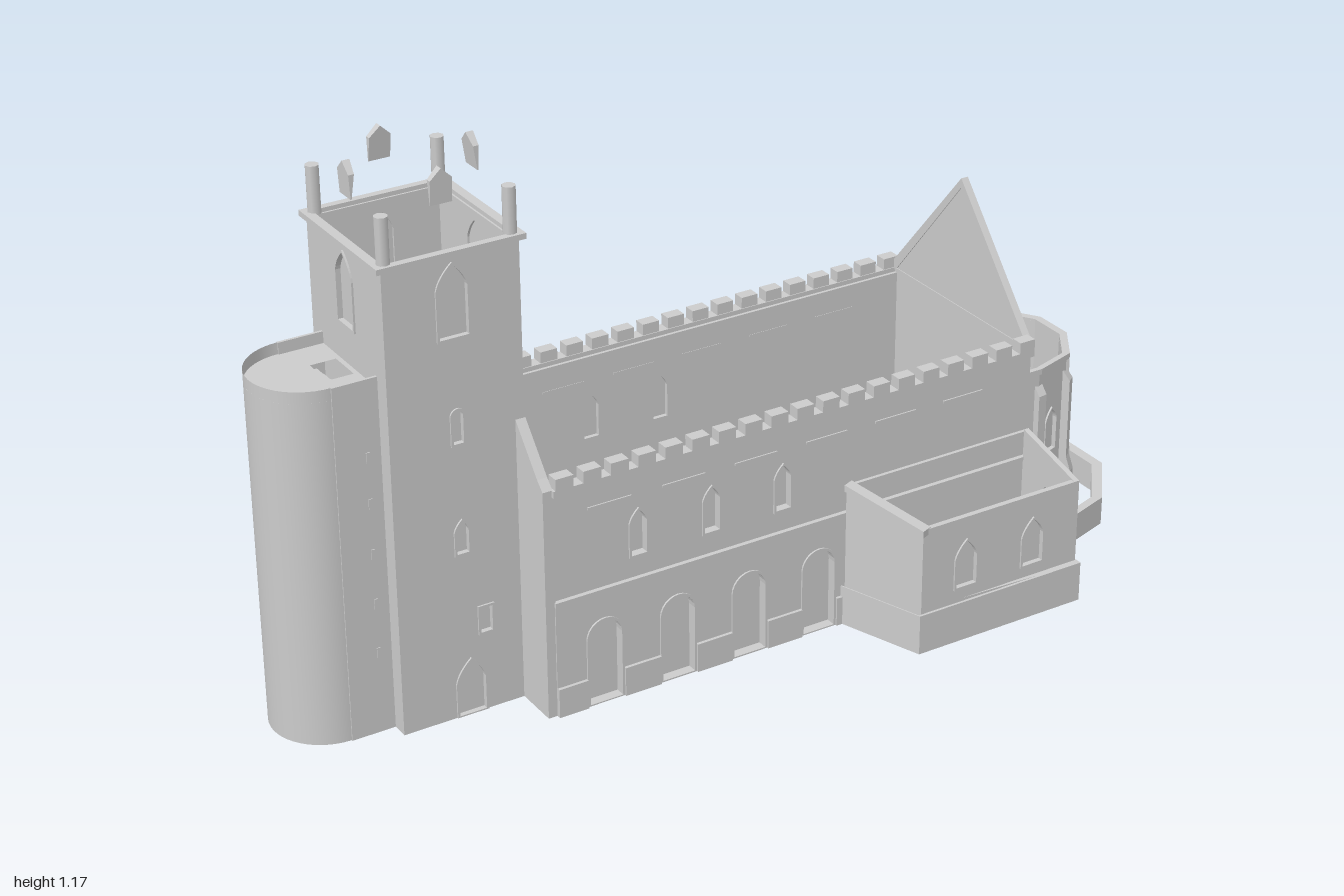
import * as THREE from 'three';

const mat = new THREE.MeshStandardMaterial({ color: 0xcccccc, side: THREE.DoubleSide });
const MID = -0.095; // z of the long axis

function add(parent, name, geo, x = 0, y = 0, z = 0) {
  const m = new THREE.Mesh(geo, mat);
  m.name = name;
  m.position.set(x, y, z);
  parent.add(m);
  return m;
}

// Box from min and max corners
function block(parent, name, x0, x1, y0, y1, z0, z1) {
  return add(parent, name, new THREE.BoxGeometry(x1 - x0, y1 - y0, z1 - z0),
    (x0 + x1) / 2, (y0 + y1) / 2, (z0 + z1) / 2);
}

const poly = pts => new THREE.Shape(pts.map(p => new THREE.Vector2(p[0], p[1])));
const extrude = (shape, depth) =>
  new THREE.ExtrudeGeometry(shape, { depth, bevelEnabled: false, curveSegments: 6 });

// Window or door outline: flat, round or pointed head
function openingShape({ u, y0, y1, w, head = 'point' }, g = 0) {
  const s = new THREE.Shape(), h = w / 2 + g, b = Math.max(0.001, y0 - g), t = y1 + g;
  s.moveTo(u - h, b);
  s.lineTo(u + h, b);
  if (head === 'flat') {
    s.lineTo(u + h, t);
    s.lineTo(u - h, t);
  } else if (head === 'round') {
    s.lineTo(u + h, t - h);
    s.absarc(u, t - h, h, 0, Math.PI, false);
  } else {
    const sp = t - h * 1.5;
    s.lineTo(u + h, sp);
    s.quadraticCurveTo(u + h * 0.85, sp + h * 0.75, u, t);
    s.quadraticCurveTo(u - h * 0.85, sp + h * 0.75, u - h, sp);
  }
  s.closePath();
  return s;
}

// Upright wall whose outer face runs from p to q (x, z), with recessed openings
function wall(parent, name, p, q, outline, depth, openings = []) {
  const g = new THREE.Group();
  g.name = name;
  g.position.set(p[0], 0, p[1]);
  g.rotation.y = Math.atan2(p[1] - q[1], q[0] - p[0]);
  parent.add(g);
  const len = Math.hypot(q[0] - p[0], q[1] - p[1]);
  const shape = poly(typeof outline === 'function' ? outline(len) : outline);
  for (const o of openings) {
    shape.holes.push(openingShape(o));
    add(g, 'pane', new THREE.ShapeGeometry(openingShape(o), 6), 0, 0, -depth * 0.6);
    const frame = openingShape(o, 0.005);
    frame.holes.push(openingShape(o));
    add(g, 'openingFrame', extrude(frame, 0.004));
  }
  add(g, name + 'Face', extrude(shape, depth), 0, 0, -depth);
  return g;
}
const rect = (y0, y1) => L => [[0, y0], [L, y0], [L, y1], [0, y1]];

// Wall ring following a plan polyline, its inner line scaled towards a centre
function band(parent, name, pts, c, k, y0, y1) {
  const inner = pts.map(([x, z]) => [c[0] + (x - c[0]) * k, c[1] + (z - c[1]) * k]).reverse();
  return add(parent, name, extrude(poly([...pts, ...inner]), y1 - y0).rotateX(Math.PI / 2), 0, y1, 0);
}

function buildNave(root) {
  const g = new THREE.Group();
  g.name = 'nave';
  root.add(g);
  const x0 = -0.5, x1 = 0.655, arches = [-0.39, -0.22, -0.05, 0.12];
  for (const s of [1, -1]) {
    const U = x => (s > 0 ? x - x0 : x1 - x);
    const ends = d => {
      const z = MID + s * d;
      return s > 0 ? [[x0, z], [x1, z]] : [[x1, z], [x0, z]];
    };
    const slab = (name, a, b, y0, y1, d0, d1) => block(g, name, a, b, y0, y1,
      Math.min(MID + s * d0, MID + s * d1), Math.max(MID + s * d0, MID + s * d1));
    const low = arches.map(x => ({ u: U(x), y0: 0.004, y1: 0.19, w: 0.075, head: 'round' }));
    if (s < 0) for (const x of [0.38, 0.54]) low.push({ u: U(x), y0: 0.06, y1: 0.225, w: 0.07 });
    const high = [-0.305, -0.135, 0.035].map(x => ({ u: U(x), y0: 0.31, y1: 0.41, w: 0.035 }));
    wall(g, 'lowerWall', ...ends(0.258), rect(0, 0.25), 0.03, low);
    wall(g, 'upperWall', ...ends(0.25), rect(0.25, 0.5), 0.024, high);
    slab('stringCourse', x0, x1, 0.25, 0.26, 0.228, 0.26);
    // plinth pieces between the arches
    const cuts = [x0, ...arches.flatMap(x => [x - 0.043, x + 0.043]), s > 0 ? 0.2 : x1];
    for (let i = 0; i < cuts.length; i += 2)
      slab('plinth', cuts[i], cuts[i + 1], 0, 0.065, 0.24, 0.265);
    // battlements
    slab('parapet', x0, x1, 0.495, 0.51, 0.233, 0.262);
    for (let i = 0; i < 19; i++) {
      const x = x0 + 0.005 + i * 0.0618;
      slab('merlon', x, Math.min(x + 0.04, x1), 0.51, 0.535, 0.235, 0.262);
    }
    for (let i = 0; i < 6; i++)
      slab('drip', -0.42 + i * 0.17, -0.32 + i * 0.17, 0.442, 0.447, 0.225, 0.253);
    // part of the west gable beside the tower
    const tilt = [[0.155, 0], [0.255, 0], [0.255, 0.51], [0.235, 0.53], [0.155, 0.625]];
    const west = add(g, 'westGable', extrude(poly(tilt.map(p => [-s * p[0], p[1]])), 0.022), -0.52, 0, MID);
    west.rotation.y = Math.PI / 2;
  }
  // east end wall with raised coping
  const gable = [[0.01, 0], [0.5, 0], [0.5, 0.51], [0.255, 0.79], [0.01, 0.51]];
  wall(g, 'eastGable', [0.655, MID + 0.255], [0.655, MID - 0.255], gable, 0.008);
  const cope = poly([[-0.24, 0.505], [0.24, 0.505], [0.235, 0.53], [0, 0.807], [-0.235, 0.53]]);
  cope.holes.push(poly([[-0.225, 0.511], [0.225, 0.511], [0, 0.785]]));
  add(g, 'gableCoping', extrude(cope, 0.017), 0.645, 0, MID).rotation.y = Math.PI / 2;
}

function buildTower(root) {
  const g = new THREE.Group();
  g.name = 'tower';
  root.add(g);
  const x0 = -0.79, x1 = -0.5, z0 = MID - 0.155, z1 = MID + 0.155, H = 1.005;
  const c = [[x0, z1], [x1, z1], [x1, z0], [x0, z0]];
  const U = x => x - x0;
  for (let i = 0; i < 4; i++) {
    const p = c[i], q = c[(i + 1) % 4], L = Math.hypot(q[0] - p[0], q[1] - p[1]);
    const list = [{ u: L / 2, y0: 0.835, y1: 0.985, w: 0.062 }];
    if (i % 2 === 0) list.push({ u: L / 2, y0: 0.37, y1: 0.44, w: 0.026 });
    if (i === 0) list.push(
      { u: U(-0.637), y0: 0.004, y1: 0.125, w: 0.06 },
      { u: U(-0.6), y0: 0.18, y1: 0.235, w: 0.026, head: 'flat' },
      { u: U(-0.645), y0: 0.61, y1: 0.68, w: 0.022, head: 'round' });
    wall(g, 'towerWall', p, q, rect(0, H), 0.012, list);
  }
  // cornice ring
  const corn = poly([[x0 - 0.012, z0 - 0.008], [x1 + 0.012, z0 - 0.008], [x1 + 0.012, z1 + 0.008], [x0 - 0.012, z1 + 0.008]]);
  corn.holes.push(poly([[x0 + 0.008, z0 + 0.008], [x1 - 0.008, z0 + 0.008], [x1 - 0.008, z1 - 0.008], [x0 + 0.008, z1 - 0.008]]));
  add(g, 'cornice', extrude(corn, 0.012).rotateX(Math.PI / 2), 0, 1.014, 0);
  // corner posts and floating pointed battlement plates
  for (const [x, z] of c)
    add(g, 'cornerPost', new THREE.CylinderGeometry(0.014, 0.014, 0.1, 8),
      x + Math.sign(-0.645 - x) * 0.012, 1.06, z + Math.sign(MID - z) * 0.012);
  for (let i = 0; i < 4; i++) {
    const pivot = new THREE.Group();
    pivot.name = 'battlementPlate';
    pivot.position.set(-0.645, 0, MID);
    pivot.rotation.y = i * Math.PI / 2;
    g.add(pivot);
    const plate = extrude(poly([[-0.023, 0], [0.023, 0], [0.023, 0.05], [0, 0.072], [-0.023, 0.05]]), 0.012);
    const pos = plate.attributes.position;
    for (let k = 0; k < pos.count; k++) // taper to a thin lower edge
      pos.setZ(k, pos.getZ(k) > 0.006 ? 0.002 + pos.getY(k) * 0.05 : -pos.getY(k) * 0.15);
    plate.computeVertexNormals();
    add(pivot, 'plate', plate, 0, 1.097, i % 2 ? 0.132 : 0.125);
  }
  block(g, 'northLedge', -0.76, -0.55, 0.505, 0.511, z0 - 0.005, z0);
}

function buildTurret(root) {
  const g = new THREE.Group();
  g.name = 'stairTurret';
  root.add(g);
  const r = 0.115, cx = -0.885, H = 0.775;
  const shell = rad => new THREE.CylinderGeometry(rad, rad, H, 24, 1, true, Math.PI, Math.PI);
  add(g, 'roundWall', shell(r), cx, H / 2, MID);
  for (const s of [1, -1]) {
    block(g, 'sideWall', cx, -0.79, 0, H, MID + s * r - 0.003, MID + s * r + 0.003);
    for (const y of [0.17, 0.28, 0.39, 0.5, 0.6])
      block(g, 'slit', -0.822, -0.814, y, y + 0.022, MID + s * (r + 0.003) - 0.002, MID + s * (r + 0.003) + 0.002);
  }
  const cap = new THREE.Shape();
  cap.moveTo(0.095, -r);
  cap.lineTo(0.095, r);
  cap.lineTo(0, r);
  cap.absarc(0, 0, r, Math.PI / 2, Math.PI * 1.5, false);
  cap.holes.push(poly([[0.03, -0.038], [0.085, -0.038], [0.085, 0.038], [0.03, 0.038]]));
  add(g, 'turretFloor', new THREE.ShapeGeometry(cap, 16).rotateX(-Math.PI / 2), cx, 0.75, MID);
  for (let i = 0; i < 4; i++) // steps below the hatch
    block(g, 'step', cx + 0.03 + i * 0.014, cx + 0.044 + i * 0.014, 0.68, 0.74 - i * 0.015, MID - 0.038, MID + 0.038);
}

function buildAnnex(root) {
  const g = new THREE.Group();
  g.name = 'annex';
  root.add(g);
  const a = [0.185, 0.165], b = [0.255, 0.34], c = [0.652, 0.34], d = [0.652, 0.163];
  wall(g, 'annexWestWall', a, b, L => [[0, 0], [L, 0], [L, 0.28], [0, 0.325]], 0.012);
  wall(g, 'annexWestCoping', [0.178, 0.168], [0.25, 0.347], L => [[0, 0.313], [L, 0.267], [L, 0.282], [0, 0.328]], 0.026);
  wall(g, 'annexSouthWall', b, c, rect(0, 0.28), 0.012,
    [0.365, 0.535].map(x => ({ u: x - b[0], y0: 0.12, y1: 0.225, w: 0.05 })));
  wall(g, 'annexEastWall', c, d, L => [[0, 0], [L, 0], [L, 0.325], [0, 0.28]], 0.012,
    [{ u: 0.095, y0: 0.088, y1: 0.225, w: 0.058 }]);
  band(g, 'annexPlinth', [[0.175, 0.165], [0.242, 0.355], [0.655, 0.355], [0.655, 0.335], [0.262, 0.335]], [0.26, 0.165], 0.97, 0, 0.09);
  block(g, 'roofString', 0.2, 0.655, 0.31, 0.32, 0.15, 0.163);
}

function buildApse(root) {
  const g = new THREE.Group();
  g.name = 'apse';
  root.add(g);
  // half plan mirrored about the axis
  const mirror = half => [...half.map(([x, d]) => [x, MID + d]), ...half.map(([x, d]) => [x, MID - d]).reverse()];
  const c = [0.655, MID];
  const low = mirror([[0.655, 0.255], [0.775, 0.255], [0.9, 0.215], [1, 0.088]]);
  band(g, 'lowWall', low, c, 0.93, 0, 0.065);
  const plan = mirror([[0.655, 0.157], [0.755, 0.157], [0.85, 0.128], [0.905, 0.046]]);
  const grow = k => plan.map(([x, z]) => [c[0] + (x - c[0]) * k, MID + (z - MID) * k]);
  const profile = [[-0.005, 0.065], [0.024, 0.065], [0.024, 0.115], [0.013, 0.15], [0.013, 0.335], [-0.005, 0.36]];
  for (let i = 0; i < plan.length - 1; i++) {
    const p = plan[i], q = plan[i + 1], L = Math.hypot(q[0] - p[0], q[1] - p[1]);
    wall(g, 'apseWall', p, q, rect(0.06, 0.39), 0.01, [{ u: L / 2, y0: 0.18, y1: 0.28, w: 0.034 }]);
    if (i === 0) continue;
    // stepped buttress on each corner, facing along the bisector
    const o = plan[i - 1], dx = q[0] - o[0], dz = q[1] - o[1];
    const post = add(g, 'buttress', extrude(poly(profile), 0.022).translate(0, 0, -0.011), p[0], 0, p[1]);
    post.rotation.y = Math.atan2(-dz, dx) - Math.PI / 2;
  }
  band(g, 'apseBase', grow(1.06), c, 0.92, 0.06, 0.105);
  band(g, 'apseCornice', grow(1.03), c, 0.93, 0.383, 0.396);
}

export function createModel() {
  const root = new THREE.Group();
  root.name = 'church';
  buildNave(root);
  buildTower(root);
  buildTurret(root);
  buildAnnex(root);
  buildApse(root);
  return root;
}
